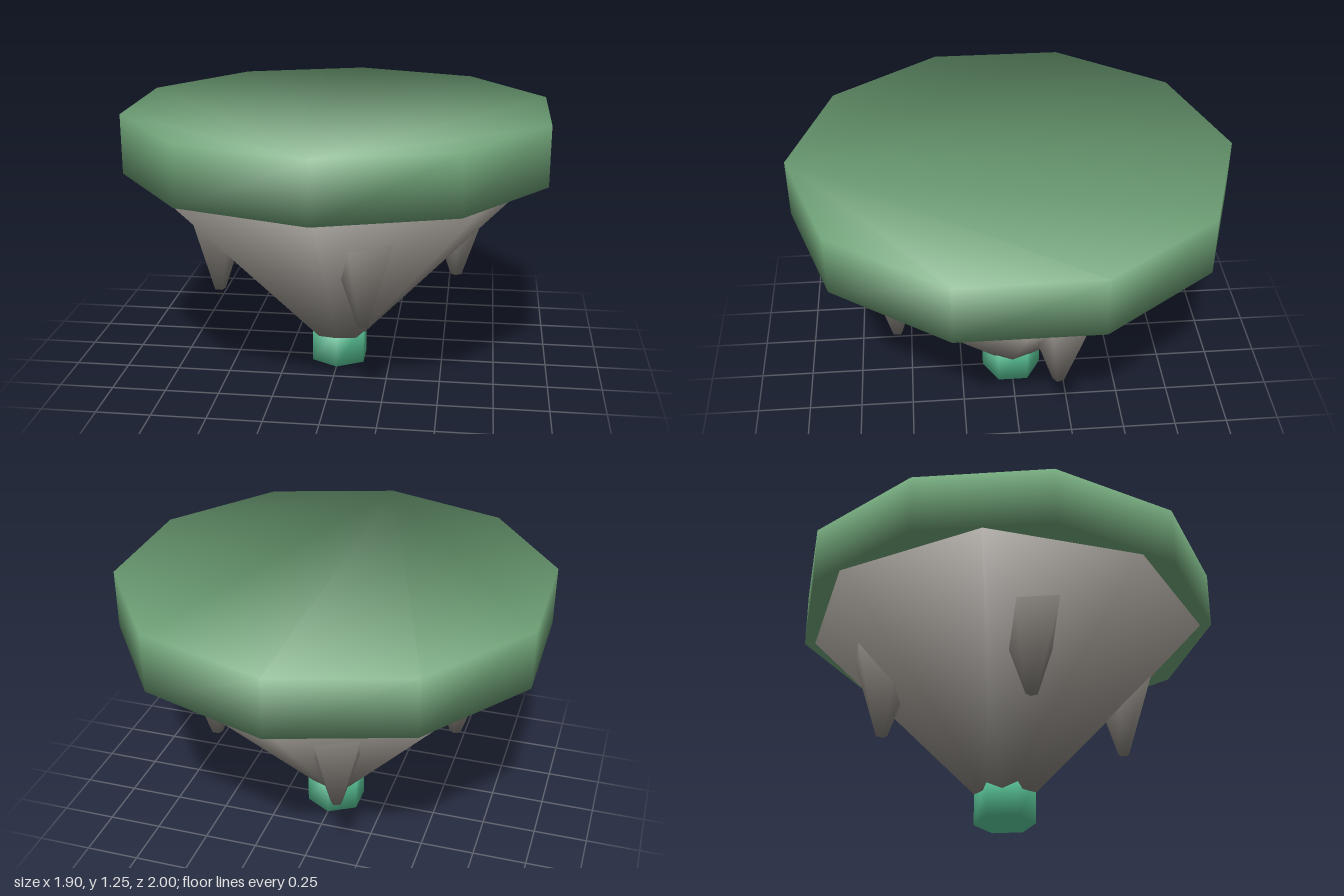
import * as THREE from 'three';

const grass = new THREE.MeshStandardMaterial({ name: 'grassGreen', color: 0x72a67a });
const rock = new THREE.MeshStandardMaterial({ name: 'rockGrey', color: 0x8b8680 });
const crystal = new THREE.MeshStandardMaterial({ name: 'crystalGreen', color: 0x5ccc9c });

// Smooth normals, each face weighted by its corner angle
function smoothNormals(geo) {
  const pos = geo.attributes.position, index = geo.index.array;
  const sums = Array.from({ length: pos.count }, () => new THREE.Vector3());
  for (let i = 0; i < index.length; i += 3) {
    const ids = [index[i], index[i + 1], index[i + 2]];
    const p = ids.map((id) => new THREE.Vector3().fromBufferAttribute(pos, id));
    const normal = new THREE.Triangle(...p).getNormal(new THREE.Vector3());
    ids.forEach((id, k) => {
      const a = p[(k + 1) % 3].clone().sub(p[k]);
      const b = p[(k + 2) % 3].clone().sub(p[k]);
      sums[id].addScaledVector(normal, a.angleTo(b));
    });
  }
  const normals = sums.flatMap((n) => n.normalize().toArray());
  geo.setAttribute('normal', new THREE.Float32BufferAttribute(normals, 3));
  return geo;
}

// Closed tapered prism with shared corners, so its shading runs over the rims
function taperedPrism(sides, rBottom, yBottom, rTop, yTop, turn = 0) {
  const points = [], index = [];
  for (const [r, y] of [[rBottom, yBottom], [rTop, yTop]]) {
    for (let i = 0; i < sides; i++) {
      const a = turn + (i / sides) * Math.PI * 2;
      points.push(r * Math.sin(a), y, r * Math.cos(a));
    }
  }
  for (let i = 0; i < sides; i++) {
    const j = (i + 1) % sides;
    index.push(i, j, sides + j, i, sides + j, sides + i);
  }
  for (let i = 1; i < sides - 1; i++) {
    index.push(0, i + 1, i); // bottom cap
    index.push(sides, sides + i, sides + i + 1); // top cap
  }
  const geo = new THREE.BufferGeometry();
  geo.setAttribute('position', new THREE.Float32BufferAttribute(points, 3));
  geo.setIndex(index);
  return smoothNormals(geo);
}

function addPart(parent, name, geo, material) {
  const mesh = new THREE.Mesh(geo, material);
  mesh.name = name;
  parent.add(mesh);
  return mesh;
}

export function createModel() {
  const island = new THREE.Group();
  island.name = 'floatingIsland';

  // Ten-sided grass slab on an eight-sided rock cone
  addPart(island, 'grassTop', taperedPrism(10, 1, 0.977, 1, 1.25), grass);
  addPart(island, 'rockBase', taperedPrism(8, 0.1, 0.104, 0.95, 0.98), rock);

  // Hexagonal crystal at the tip
  addPart(island, 'crystalCore', taperedPrism(6, 0.143, 0, 0.143, 0.2), crystal);

  // Four hanging rock spikes, sunk into the cone
  const spikeGeo = taperedPrism(5, 0.028, 0.39, 0.192, 0.88, Math.PI);
  for (let i = 0; i < 4; i++) {
    const angle = 0.3 + (i * Math.PI) / 2;
    const spike = addPart(island, 'rockSpike' + (i + 1), spikeGeo, rock);
    spike.position.set(Math.sin(angle) * 0.58, 0, Math.cos(angle) * 0.58);
    spike.rotation.y = angle;
  }
  return island;
}
